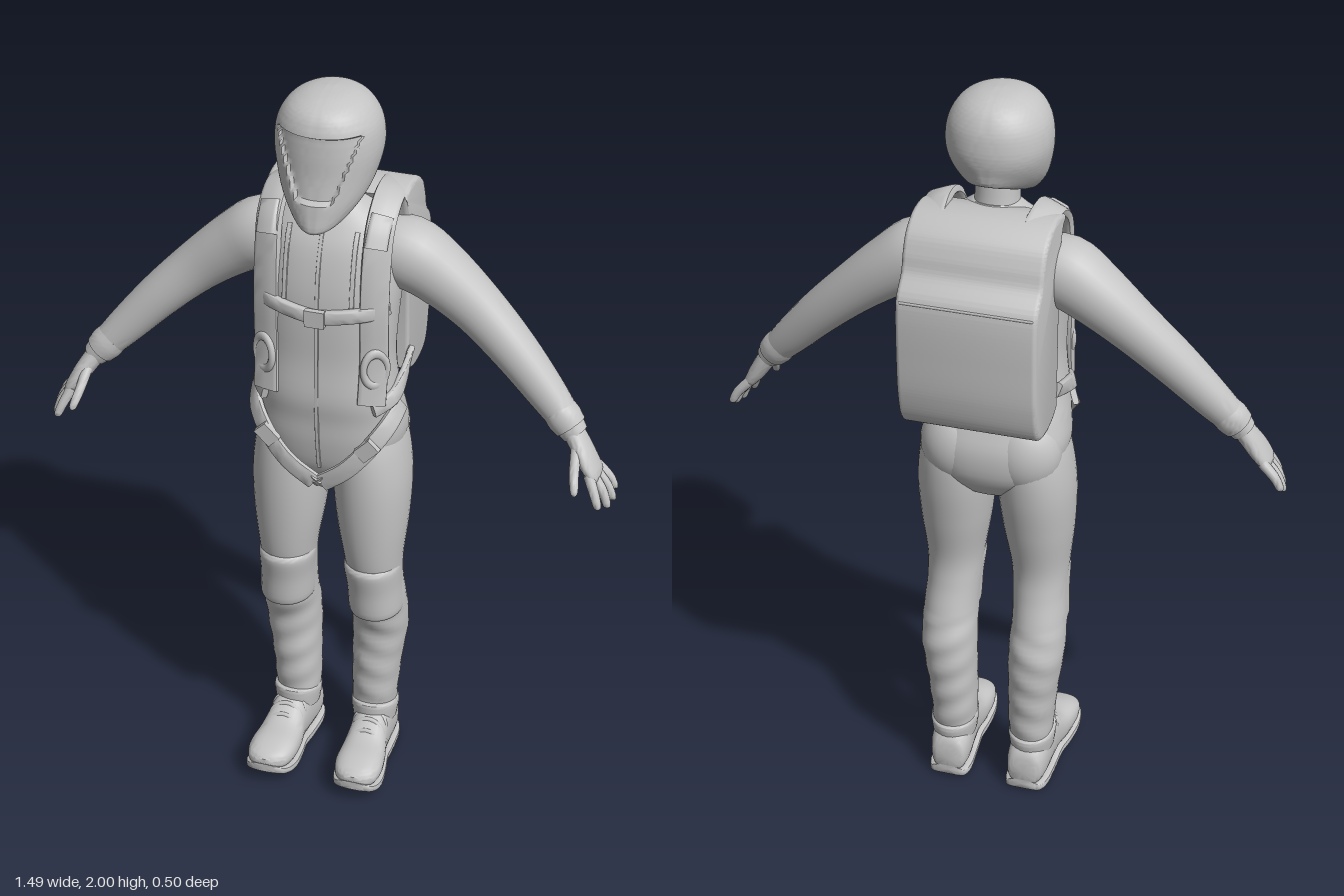
import * as THREE from 'three';
import { mergeVertices, toCreasedNormals } from 'three/addons/utils/BufferGeometryUtils.js';

const suit = new THREE.MeshStandardMaterial({ color: 0xc4c4c4 });
suit.name = 'suitGrey';

const X = new THREE.Vector3(1, 0, 0), Y = new THREE.Vector3(0, 1, 0), Z = new THREE.Vector3(0, 0, 1);

// Smooth interpolation of ring rows [x, y, z, a, b, n, shear]
function refine(rows, sub) {
  const full = rows.map(r => [...r, ...[0, 0, 0, 0, 0, 2.1, 0].slice(r.length)]);
  const at = i => full[Math.max(0, Math.min(full.length - 1, i))];
  const out = [];
  for (let i = 0; i < full.length - 1; i++) {
    for (let k = 0; k < sub; k++) {
      const t = k / sub;
      out.push(at(i).map((p1, j) => {
        const p0 = at(i - 1)[j], p2 = at(i + 1)[j], p3 = at(i + 2)[j];
        return p1 + 0.5 * t * (p2 - p0 + t * (2 * p0 - 5 * p1 + 4 * p2 - p3 + t * (3 * (p1 - p2) + p3 - p0)));
      }));
    }
  }
  out.push(full[full.length - 1]);
  return out;
}

// Closed skin over superellipse rings; dir fixes the ring axis, otherwise it follows the path
function loft(rows, { hint = Z, dir = null, segs = 28, sub = 4, rule = null } = {}) {
  const rings = refine(rows, sub), pos = [], idx = [];
  const centre = i => new THREE.Vector3().fromArray(rings[Math.max(0, Math.min(rings.length - 1, i))]);
  rings.forEach(([, , , a, b, n, shear], i) => {
    const c = centre(i);
    const d = dir ? dir.clone() : centre(i + 1).sub(centre(i - 1)).normalize();
    const h = typeof hint === 'function' ? hint(c) : hint;
    const u = new THREE.Vector3().crossVectors(h, d).normalize();
    const v = new THREE.Vector3().crossVectors(d, u);
    for (let j = 0; j < segs; j++) {
      const t = (j / segs) * Math.PI * 2, cs = Math.cos(t), sn = Math.sin(t);
      const p = c.clone()
        .addScaledVector(u, a * Math.sign(cs) * Math.abs(cs) ** (2 / n))
        .addScaledVector(v, b * Math.sign(sn) * Math.abs(sn) ** (2 / n));
      p.y += shear * (p.z - c.z);
      if (rule) rule(p);
      pos.push(p.x, p.y, p.z);
    }
  });
  for (let i = 0; i < rings.length - 1; i++) {
    for (let j = 0; j < segs; j++) {
      const a = i * segs + j, b = i * segs + (j + 1) % segs;
      idx.push(a, b, b + segs, a, b + segs, a + segs);
    }
  }
  const last = (rings.length - 1) * segs, c0 = pos.length / 3;
  pos.push(...centre(0).toArray(), ...centre(rings.length - 1).toArray());
  for (let j = 0; j < segs; j++) {
    const k = (j + 1) % segs;
    idx.push(c0, k, j, c0 + 1, last + j, last + k);
  }
  const g = new THREE.BufferGeometry();
  g.setAttribute('position', new THREE.Float32BufferAttribute(pos, 3));
  g.setIndex(idx);
  return toCreasedNormals(g, 0.8);
}

const torsoRows = [
  [0, 0.92, 0.01, 0.09, 0.085], [0, 0.98, 0.008, 0.165, 0.125], [0, 1.06, 0.013, 0.192, 0.137],
  [0, 1.13, 0.027, 0.188, 0.128], [0, 1.2, 0.045, 0.178, 0.118], [0, 1.3, 0.048, 0.168, 0.107],
  [0, 1.4, 0.043, 0.172, 0.112], [0, 1.5, 0.03, 0.178, 0.12], [0, 1.6, 0.013, 0.172, 0.115],
  [0, 1.66, 0.005, 0.145, 0.092], [0, 1.7, 0.008, 0.085, 0.062], [0, 1.72, 0.012, 0.055, 0.05],
].map(r => [...r, 2.4]);
const torsoFine = refine(torsoRows, 12);

// Point on the front of the torso, lifted by off
function front(x, y, off = 0.004) {
  const [, , cz, a, b, n] = torsoFine.reduce((m, r) => Math.abs(r[1] - y) < Math.abs(m[1] - y) ? r : m);
  const q = Math.max(0, 1 - Math.abs(x / a) ** n) ** (1 / n);
  return [x, y, cz + b * q + off];
}
const outward = p => new THREE.Vector3(p.x * 0.3, p.y - Math.min(p.y, 1.6), p.z - 0.01).normalize();

export function createModel() {
  const model = new THREE.Group();
  model.name = 'skydiver';
  const add = (name, geo) => {
    const m = new THREE.Mesh(geo, suit);
    m.name = name;
    model.add(m);
    return m;
  };
  const strap = (name, pts, w, t = 0.006) =>
    add(name, loft(pts.map(p => [...p, w, t, 5]), { hint: outward, segs: 16 }));
  const ball = (name, p, r) => {
    const m = add(name, new THREE.SphereGeometry(1, 28, 20));
    m.position.set(...p);
    m.scale.set(...r);
  };

  // Torso, neck and collar
  add('torso', loft(torsoRows, { dir: Y, segs: 48 }));
  add('neck', loft([[0, 1.67, 0.012, 0.066, 0.064], [0, 1.72, 0.018, 0.056, 0.056], [0, 1.82, 0.03, 0.055, 0.058]], { dir: Y }));
  add('collar', loft([[0, 1.68, 0.014, 0.075, 0.07, 2, -0.2], [0, 1.7, 0.016, 0.07, 0.066, 2, -0.2], [0, 1.712, 0.016, 0.06, 0.058, 2, -0.2]], { dir: Y }));

  // Full-face helmet with a recessed visor
  add('helmet', loft([
    [0, 1.75, 0.05, 0.055, 0.1, 2, -0.4], [0, 1.735, 0.055, 0.075, 0.135, 1.9, -0.4],
    [0, 1.775, 0.05, 0.108, 0.139, 2, -0.33], [0, 1.83, 0.042, 0.126, 0.137, 2.1, -0.15],
    [0, 1.88, 0.04, 0.131, 0.136, 2.1, -0.03], [0, 1.93, 0.041, 0.122, 0.129, 2.1, 0],
    [0, 1.97, 0.042, 0.095, 0.106, 2.1, 0], [0, 1.992, 0.038, 0.055, 0.064, 2, 0], [0, 2, 0.035, 0.008, 0.008, 2, 0],
  ], {
    dir: Y, segs: 88, sub: 9,
    rule: p => {
      if (p.z < 0.06) return;
      const k = (p.y - 1.755) / 0.17;
      const edge = Math.min(p.y - 1.755, 1.925 - p.y, 0.045 + 0.062 * k - Math.abs(p.x));
      p.z -= 0.012 * THREE.MathUtils.smoothstep(edge, 0, 0.007);
    },
  }));

  // Parachute container: side profile extruded across the back
  const prof = new THREE.Shape();
  prof.moveTo(0.05, 1.2);
  prof.splineThru([[0.09, 1.18], [0.155, 1.173], [0.215, 1.195], [0.243, 1.28], [0.25, 1.4], [0.249, 1.5], [0.238, 1.55],
    [0.2, 1.595], [0.185, 1.64], [0.16, 1.685], [0.11, 1.716], [0.05, 1.722], [0.0, 1.71]].map(p => new THREE.Vector2(...p)));
  prof.lineTo(0.04, 1.62);
  prof.closePath();
  const pack = new THREE.ExtrudeGeometry(prof, {
    depth: 0.332, bevelEnabled: true, bevelSize: 0.012, bevelOffset: -0.012, bevelThickness: 0.012, bevelSegments: 3, curveSegments: 40,
  });
  pack.translate(0, 0, -0.166).rotateY(Math.PI / 2);
  pack.deleteAttribute('normal');
  pack.deleteAttribute('uv');
  add('packContainer', toCreasedNormals(mergeVertices(pack, 1e-4), 0.6));
  for (const [y, z] of [[1.535, -0.242], [1.215, -0.222]]) {
    add('packSeam', new THREE.CapsuleGeometry(0.004, 0.33, 4, 8).rotateZ(Math.PI / 2)).position.set(0, y, z);
  }

  // Centre zip, chest strap and buckle
  strap('zip', [0.99, 1.1, 1.25, 1.4, 1.55, 1.65].map(y => front(0, y, 0.001)), 0.005, 0.004);
  strap('chestStrap', [-0.165, -0.13, -0.07, 0, 0.07, 0.13, 0.165].map(x => front(x, 1.44 + 0.02 * Math.abs(x) / 0.17, 0.007)), 0.018, 0.01);
  add('chestBuckle', new THREE.BoxGeometry(0.05, 0.045, 0.015)).position.set(...front(0, 1.44, 0.016));

  for (const s of [1, -1]) {
    const mir = rows => rows.map(([x, ...r]) => [s * x, ...r]);
    const side = s > 0 ? 'left' : 'right';

    // Arm, cuff and hand
    add(side + 'Arm', loft(mir([
      [0.09, 1.57, -0.01, 0.07, 0.075], [0.18, 1.56, -0.012, 0.09, 0.088], [0.26, 1.513, -0.016, 0.08, 0.08],
      [0.36, 1.433, -0.012, 0.067, 0.066], [0.46, 1.34, 0.005, 0.058, 0.058], [0.55, 1.245, 0.025, 0.049, 0.047],
      [0.61, 1.18, 0.042, 0.039, 0.037], [0.632, 1.155, 0.047, 0.033, 0.032],
    ])));
    add(side + 'Cuff', loft(mir([[0.582, 1.211, 0.034, 0.042, 0.042], [0.6, 1.191, 0.039, 0.045, 0.043], [0.618, 1.171, 0.044, 0.041, 0.039]])));
    add(side + 'Palm', loft(mir([
      [0.62, 1.17, 0.045, 0.026, 0.03], [0.645, 1.135, 0.054, 0.025, 0.038], [0.668, 1.1, 0.064, 0.023, 0.045],
      [0.69, 1.068, 0.07, 0.017, 0.044], [0.698, 1.056, 0.071, 0.008, 0.034],
    ])));
    const digits = [
      [[0.684, 1.075, 0.036], [0.718, 1.04, 0.033], [0.734, 1.012, 0.032]],
      [[0.686, 1.07, 0.058], [0.72, 1.03, 0.06], [0.736, 0.996, 0.06]],
      [[0.684, 1.07, 0.08], [0.714, 1.03, 0.087], [0.729, 0.993, 0.092]],
      [[0.68, 1.075, 0.1], [0.7, 1.035, 0.117], [0.712, 1.006, 0.127]],
      [[0.642, 1.13, 0.08], [0.648, 1.09, 0.122], [0.657, 1.055, 0.153]],
    ];
    digits.forEach(([a, b, c], i) => add(side + (i < 4 ? 'Finger' : 'Thumb'), loft(mir([
      [...a, 0.014, 0.014], [...b, 0.0125, 0.0125], [...c, 0.01, 0.01], [c[0] + 0.002, c[1] - 0.007, c[2] + 0.001, 0.004, 0.004],
    ]), { segs: 12, hint: X })));

    // Trouser leg with soft folds, buttock and knee pad
    add(side + 'Leg', loft(mir([
      [0.11, 0.1, -0.02, 0.052, 0.058], [0.108, 0.18, -0.018, 0.06, 0.068], [0.113, 0.3, -0.02, 0.066, 0.077],
      [0.121, 0.42, -0.02, 0.074, 0.081], [0.122, 0.52, 0.005, 0.072, 0.085], [0.118, 0.6, 0.02, 0.071, 0.082],
      [0.116, 0.68, 0.033, 0.076, 0.091], [0.112, 0.8, 0.028, 0.092, 0.11], [0.108, 0.92, 0.02, 0.1, 0.123],
      [0.103, 1.02, 0.015, 0.094, 0.122], [0.098, 1.1, 0.015, 0.08, 0.1],
    ]), {
      dir: Y, segs: 36, sub: 7,
      rule: p => { if (p.y < 0.5) p.z += 0.003 * Math.sin(p.y * 75 + p.x * 30 * s); },
    }));
    ball(side + 'Buttock', [s * 0.088, 1.045, -0.035], [0.098, 0.115, 0.086]);
    add(side + 'KneePad', loft(mir([
      [0.122, 0.505, 0.02, 0.064, 0.078], [0.122, 0.515, 0.026, 0.071, 0.085], [0.119, 0.59, 0.036, 0.071, 0.083],
      [0.116, 0.655, 0.046, 0.074, 0.085], [0.116, 0.672, 0.044, 0.068, 0.08],
    ]), { dir: Y, segs: 36 }));

    // Boot built heel to toe, with sole, ankle collar and lace bands
    const shoe = [[-0.098, 0.03, 0.085, 0.03], [-0.088, 0.012, 0.12, 0.046], [-0.05, 0.008, 0.15, 0.055], [0.02, 0.01, 0.165, 0.053],
      [0.07, 0.018, 0.148, 0.053], [0.12, 0.024, 0.12, 0.06], [0.18, 0.035, 0.113, 0.064], [0.225, 0.045, 0.1, 0.053], [0.245, 0.058, 0.085, 0.026]];
    const bootX = z => 0.112 + 0.05 * z;
    add(side + 'Boot', loft(mir(shoe.map(([z, lo, hi, w]) => [bootX(z), (lo + hi) / 2, z, w, (hi - lo) / 2, 2.5])), { dir: Z, hint: Y }));
    add(side + 'Sole', loft(mir(shoe.map(([z, lo, , w], i) => {
      const y = [0.022, 0.014, 0.013, 0.014, 0.024, 0.027, 0.035, 0.047, 0.06][i];
      return [bootX(z), y, z * 1.02, w + 0.004, 0.013, 5];
    })), { dir: Z, hint: Y, segs: 20 }));
    add(side + 'BootCollar', loft(mir([
      [0.11, 0.11, -0.012, 0.058, 0.07, 2.1, 0.15], [0.11, 0.15, -0.014, 0.063, 0.075, 2.1, 0.18],
      [0.11, 0.166, -0.014, 0.062, 0.074, 2.1, 0.2], [0.11, 0.17, -0.014, 0.055, 0.066, 2.1, 0.2],
    ]), { dir: Y }));
    for (const [z, y] of [[0.055, 0.15], [0.085, 0.137], [0.113, 0.12]]) {
      const band = add(side + 'LaceBand', new THREE.TorusGeometry(0.042, 0.008, 8, 20, Math.PI));
      band.position.set(s * bootX(z), y - 0.033, z);
      band.rotation.x = -0.4;
    }

    // Harness: shoulder strap, pad, side strap, leg strap and handle
    strap(side + 'ShoulderStrap', mir([
      front(0.135, 1.2), front(0.137, 1.32), front(0.137, 1.45), front(0.137, 1.57, 0.01),
      [0.138, 1.66, 0.088], [0.138, 1.708, 0.03], [0.136, 1.716, -0.03], [0.13, 1.7, -0.09],
    ]), 0.036, 0.012);
    strap(side + 'ShoulderPad', mir([[0.136, 1.625, 0.116], [0.137, 1.66, 0.096], [0.138, 1.69, 0.068]]), 0.028, 0.014);
    strap(side + 'VestSeam', mir([1.47, 1.55, 1.62, 1.65].map(y => front(0.085, y, 0.001))), 0.006, 0.004);
    strap(side + 'HipStrap', mir([[0.178, 1.25, -0.06], [0.184, 1.225, 0.02], [0.176, 1.2, 0.09], front(0.14, 1.185, 0.01)]), 0.02, 0.009);
    strap(side + 'LegStrap', mir([[0.19, 1.17, 0.06], [0.172, 1.13, 0.115], [0.13, 1.07, 0.148], [0.075, 1.005, 0.157], [0.01, 0.95, 0.148]]), 0.024, 0.008);
    strap(side + 'LowerLegStrap', mir([[0.0, 0.965, 0.155], [0.02, 0.935, 0.125], [0.012, 0.92, 0.07], [0.02, 0.92, 0.0]]), 0.017, 0.007);
    add(side + 'LegBuckle', new THREE.BoxGeometry(0.055, 0.04, 0.016).rotateZ(s * 0.8)).position.set(s * 0.13, 1.075, 0.157);
    const handle = add(side + 'Handle', new THREE.TorusGeometry(0.03, 0.009, 10, 28));
    handle.position.set(s * 0.143, 1.3, front(0.143, 1.3, 0.018)[2]);
    handle.scale.y = 1.5;
    handle.rotation.y = s * 0.55;
  }
  return model;
}
